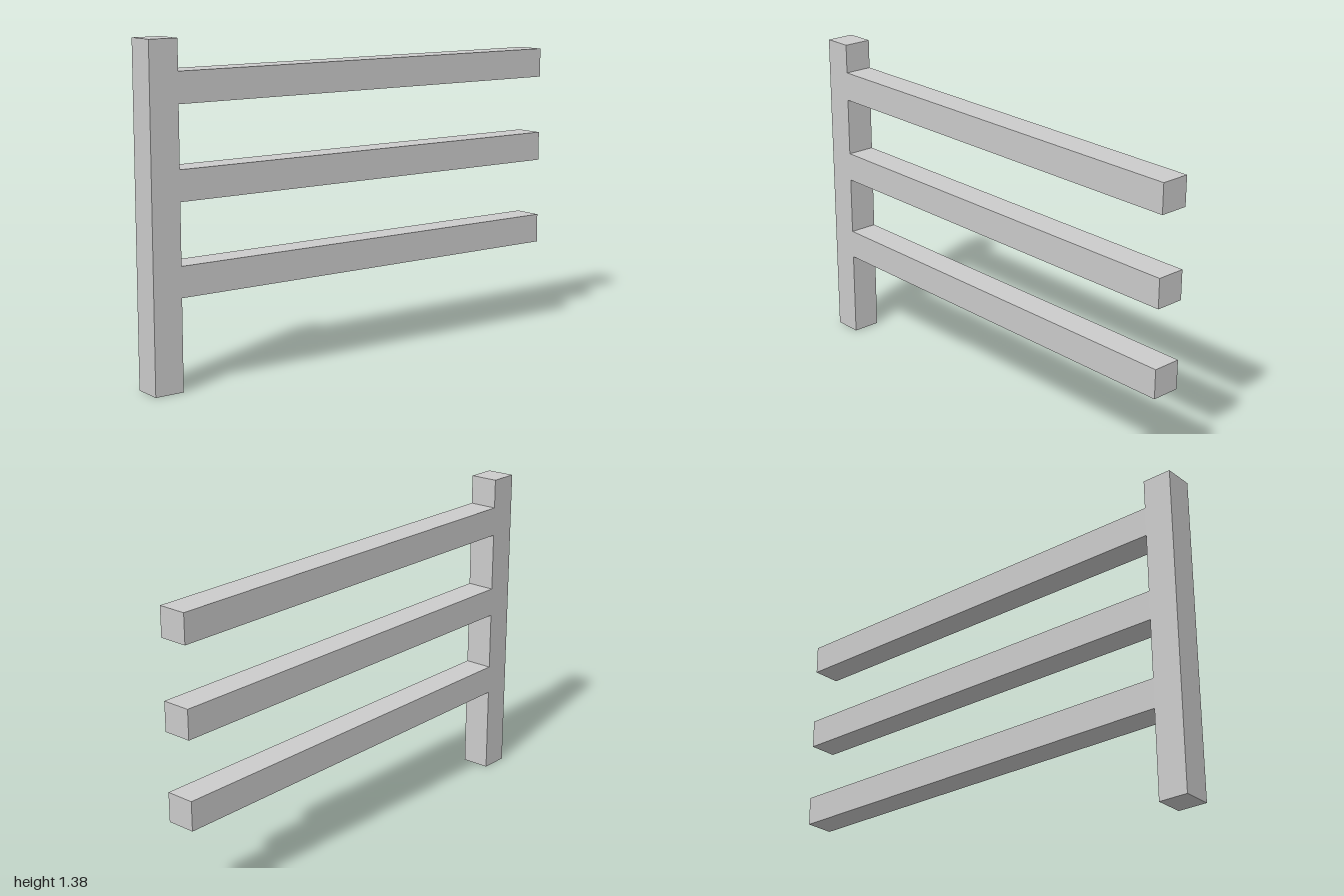
import * as THREE from 'three';

const T = 0.125; // square section of post and rails
const HEIGHT = 1.375;
const LENGTH = 2;

export function createModel() {
  const group = new THREE.Group();
  group.name = 'fenceSection';
  const material = new THREE.MeshStandardMaterial({ color: 0xcccccc, flatShading: true });

  const addBeam = (name, height, depth, y, z) => {
    const beam = new THREE.Mesh(new THREE.BoxGeometry(T, height, depth), material);
    beam.name = name;
    beam.position.set(0, y, z);
    group.add(beam);
  };

  // Upright post at the front end
  addBeam('post', HEIGHT, T, HEIGHT / 2, LENGTH / 2 - T / 2);

  // Three evenly spaced rails butting against the back of the post
  ['lowerRail', 'middleRail', 'upperRail'].forEach((name, i) => {
    addBeam(name, T, LENGTH - T, 0.375 * (i + 1) + T / 2, -T / 2);
  });

  return group;
}
